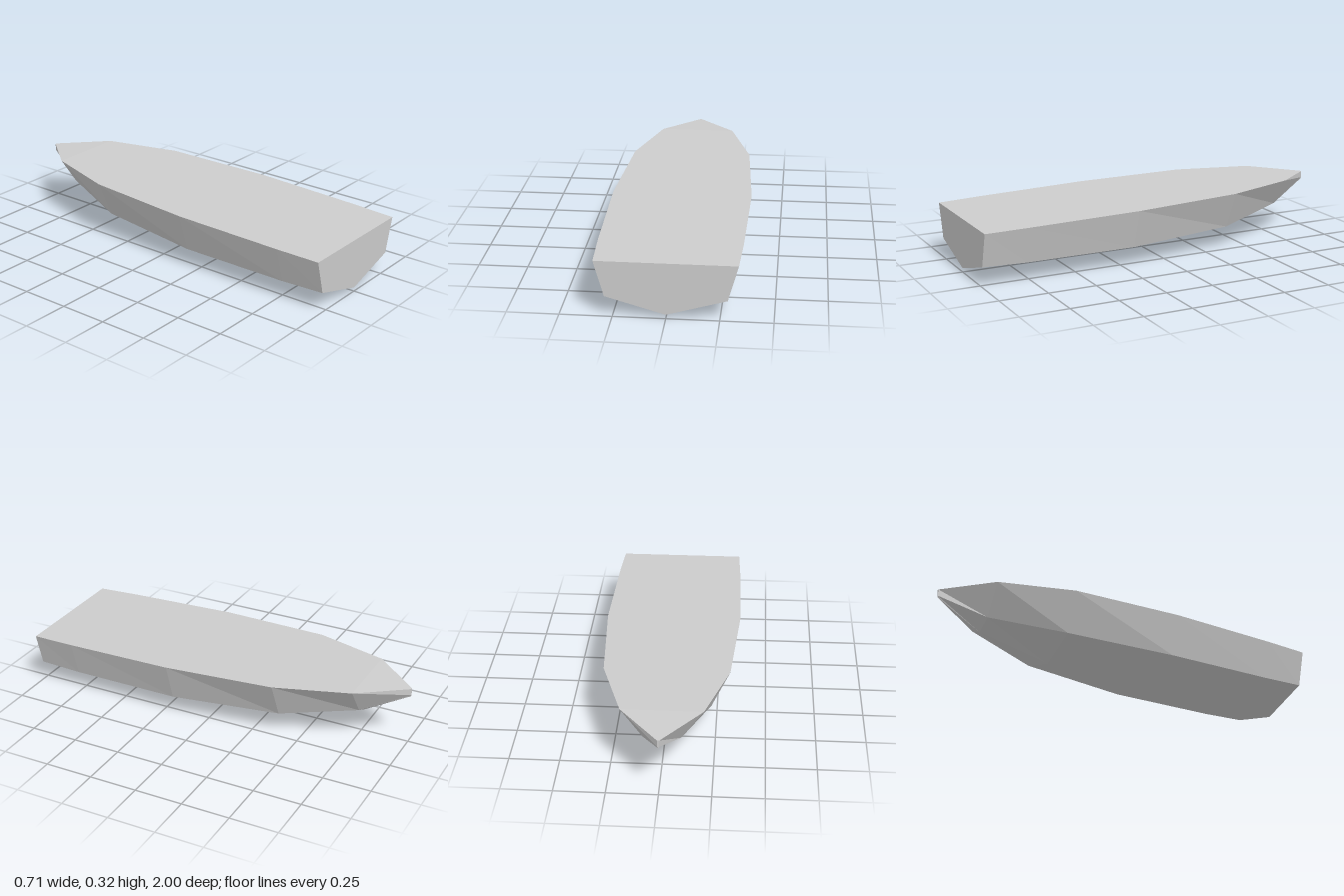
import * as THREE from 'three';

// Hull stations from stern to bow: z, deck half width, deck y, chine half width, chine y, keel y
const STATIONS = [
  [1, 0.335, 0.28, 0.286, 0.103, 0.02],
  [0.77, 0.345, 0.286, 0.29, 0.097, 0.011],
  [0.19, 0.355, 0.3, 0.291, 0.097, 0],
  [-0.385, 0.316, 0.313, 0.226, 0.116, 0.037],
  [-0.765, 0.2, 0.318, 0.093, 0.168, 0.125],
  [-1, 0.005, 0.305, 0.004, 0.27, 0.262],
];

// Cross-section loop: deck left, chine left, keel, chine right, deck right
const section = ([z, dw, dy, cw, cy, ky]) => [
  [dw, dy, z], [cw, cy, z], [0, ky, z], [-cw, cy, z], [-dw, dy, z],
];

function facetMesh(name, quads, material) {
  const points = [];
  for (const [a, b, c, d] of quads) points.push(...a, ...b, ...c, ...a, ...c, ...d);
  const geometry = new THREE.BufferGeometry();
  geometry.setAttribute('position', new THREE.Float32BufferAttribute(points, 3));
  geometry.computeVertexNormals();
  const mesh = new THREE.Mesh(geometry, material);
  mesh.name = name;
  return mesh;
}

export function createModel() {
  const grey = new THREE.MeshStandardMaterial({ color: 0xcccccc });
  grey.name = 'hull grey';
  const loops = STATIONS.map(section);
  const sides = [], bottom = [], deck = [];

  // Skin each strip between neighbouring stations
  for (let i = 0; i < loops.length - 1; i++) {
    const a = loops[i], b = loops[i + 1];
    const strip = (j, k) => [a[j], a[k], b[k], b[j]];
    sides.push(strip(0, 1), strip(3, 4));
    bottom.push(strip(1, 2), strip(2, 3));
    deck.push(strip(4, 0));
  }

  // End caps: broad transom at the front, narrow stem at the back
  const cap = (p) => [[p[0], p[4], p[3], p[1]], [p[1], p[3], p[2], p[2]]];
  const transom = cap(loops[0]);
  const stem = cap(loops[loops.length - 1]).map((q) => [...q].reverse());

  const boat = new THREE.Group();
  boat.name = 'boatHull';
  boat.add(
    facetMesh('hullSides', sides, grey),
    facetMesh('hullBottom', bottom, grey),
    facetMesh('deck', deck, grey),
    facetMesh('transom', transom, grey),
    facetMesh('stem', stem, grey),
  );
  return boat;
}
